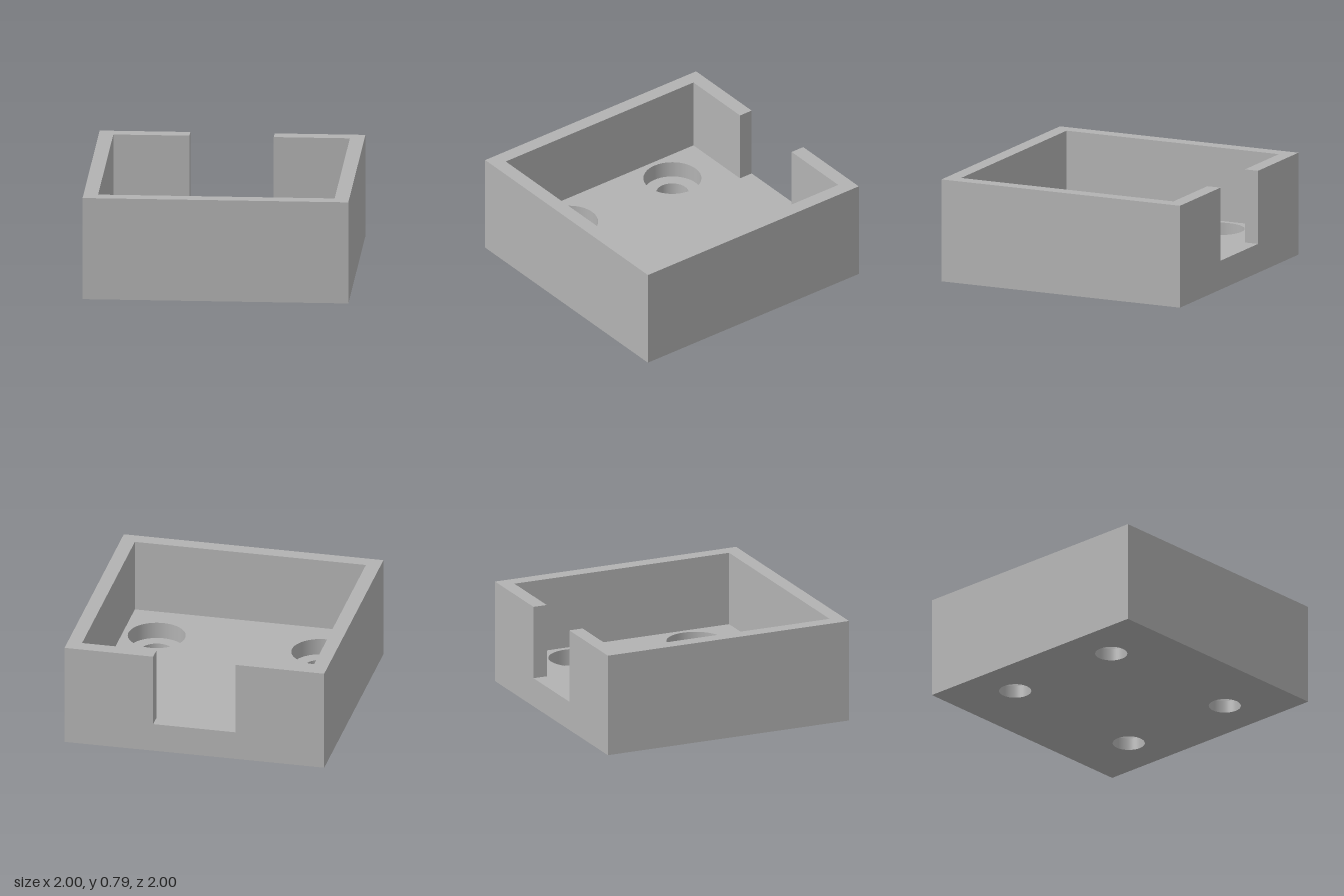
import * as THREE from 'three';
import { mergeGeometries } from 'three/addons/utils/BufferGeometryUtils.js';

// overall half width, inner half width, notch half width
const OUT = 1, IN = 0.89, NOTCH = 0.317;
// heights: counterbore ledge, floor, rim
const LEDGE = 0.095, FLOOR = 0.222, TOP = 0.785;
const BORE_R = 0.121, SINK_R = 0.218, SEGMENTS = 48;
const HOLES = [[-0.63, -0.49], [0.63, -0.49], [-0.63, 0.49], [0.63, 0.49]];

// Outlines are counter-clockwise in (x, -z), so the back is at +1.
const BASE = [[-NOTCH, OUT], [-OUT, OUT], [-OUT, -OUT], [OUT, -OUT], [OUT, OUT], [NOTCH, OUT]];
const RIM = [...BASE, [NOTCH, IN], [IN, IN], [IN, -IN], [-IN, -IN], [-IN, IN], [-NOTCH, IN]];
const INSIDE = [[-NOTCH, OUT], ...RIM.slice(6).reverse(), [NOTCH, OUT]];

// Horizontal face, facing up or down, with optional round holes
function cap(outline, y, up, holeRadius) {
  const shape = new THREE.Shape(outline.map(([x, s]) => new THREE.Vector2(x, s)));
  if (holeRadius) {
    for (const [x, z] of HOLES) {
      shape.holes.push(new THREE.Path().absarc(x, z, holeRadius, 0, Math.PI * 2, true));
    }
  }
  return new THREE.ShapeGeometry(shape, SEGMENTS / 2)
    .rotateX(up ? -Math.PI / 2 : Math.PI / 2).translate(0, y, 0);
}

// Flat vertical faces along a closed outline
function walls(outline, y0, y1) {
  return mergeGeometries(outline.map(([ax, as], k) => {
    const [bx, bs] = outline[(k + 1) % outline.length];
    const g = new THREE.BufferGeometry();
    g.setAttribute('position', new THREE.Float32BufferAttribute(
      [ax, y0, -as, bx, y0, -bs, bx, y1, -bs, ax, y1, -as], 3));
    g.setIndex([0, 1, 2, 0, 2, 3]);
    g.computeVertexNormals();
    return g;
  }));
}

// Smooth cylinder wall seen from inside
function bore(radius, y0, y1) {
  const g = new THREE.CylinderGeometry(radius, radius, y1 - y0, SEGMENTS, 1, true);
  g.translate(0, (y0 + y1) / 2, 0);
  g.setIndex(Array.from(g.index.array).reverse());
  const n = g.attributes.normal;
  for (let i = 0; i < n.count; i++) n.setXYZ(i, -n.getX(i), -n.getY(i), -n.getZ(i));
  return g;
}

export function createModel() {
  const model = new THREE.Group();
  model.name = 'mountingTray';
  const grey = new THREE.MeshStandardMaterial({ color: 0xb2b2b2 });
  grey.name = 'grey';

  // Open tray with a notch in the back wall
  const parts = [
    cap(BASE, 0, false, BORE_R),
    cap(INSIDE, FLOOR, true, SINK_R),
    cap(RIM, TOP, true),
    walls(BASE, 0, FLOOR),
    walls(RIM, FLOOR, TOP),
  ];
  parts.forEach((g) => g.deleteAttribute('uv'));
  const tray = new THREE.Mesh(mergeGeometries(parts), grey);
  tray.name = 'tray';
  model.add(tray);

  // Counterbored screw holes: wide recess, ledge, narrow through hole
  const hole = mergeGeometries([
    bore(SINK_R, LEDGE, FLOOR),
    new THREE.RingGeometry(BORE_R, SINK_R, SEGMENTS).rotateX(-Math.PI / 2).translate(0, LEDGE, 0),
    bore(BORE_R, 0, LEDGE),
  ]);
  for (const [x, z] of HOLES) {
    const mesh = new THREE.Mesh(hole, grey);
    mesh.name = 'screwHole';
    mesh.position.set(x, 0, z);
    model.add(mesh);
  }
  return model;
}
